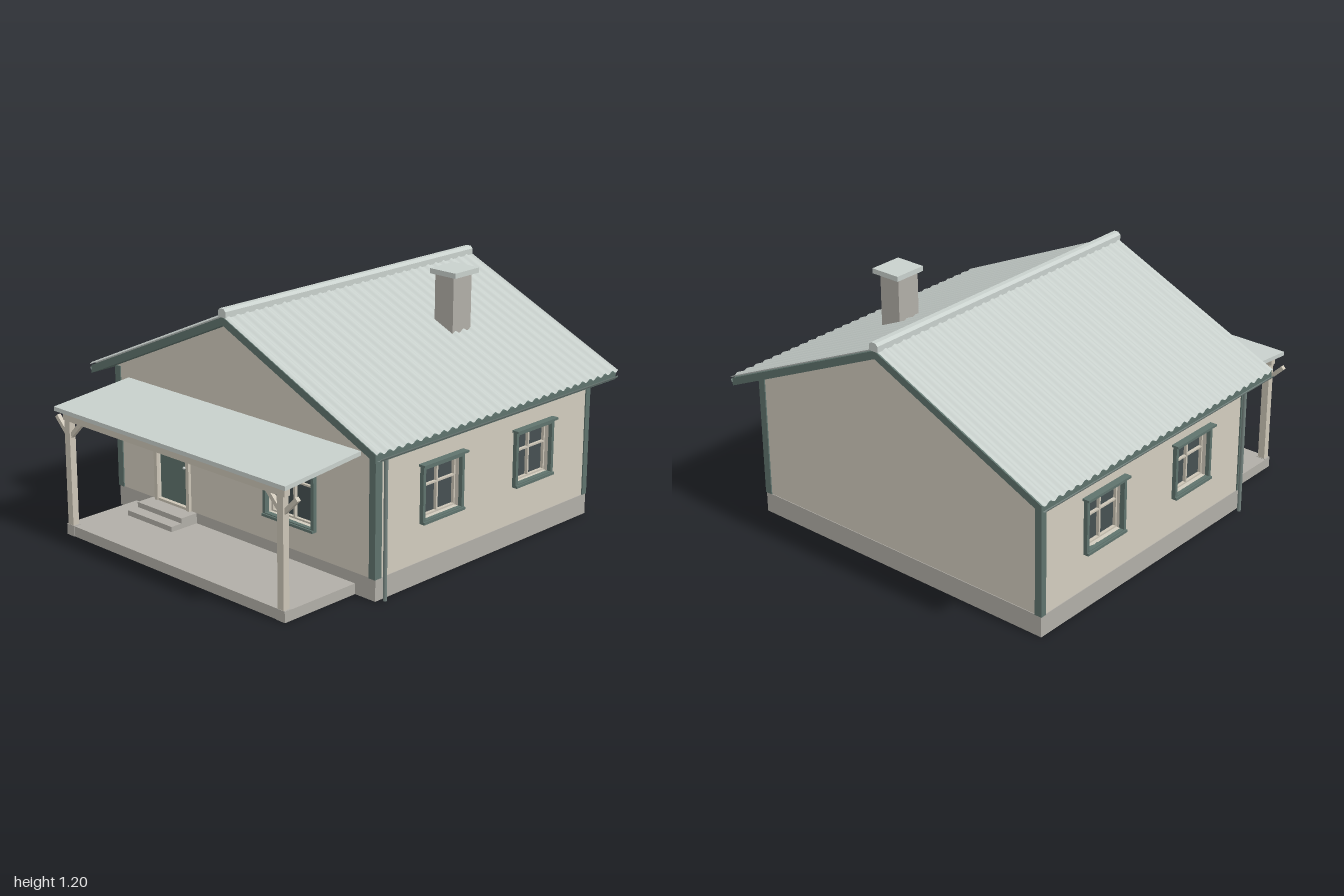
import * as THREE from 'three';

const mat = (color, extra = {}) => new THREE.MeshStandardMaterial({ color, ...extra });
const wallMat = mat(0xd2ccbe), trimMat = mat(0x5f736d), stoneMat = mat(0xb1aea7);
const glassMat = mat(0x465052), metalMat = mat(0xc8d0cc), woodMat = mat(0xccc5b6);
const sheetMat = mat(0xc8d0cc, { side: THREE.DoubleSide });
const gutterMat = mat(0x74837f, { side: THREE.DoubleSide });

const SLOPE = 0.45, FRONT = 0.555, BACK = -0.9, HALF = 0.83, THICK = 0.06;

function add(parent, name, geometry, material) {
  const mesh = new THREE.Mesh(geometry, material);
  mesh.name = name;
  parent.add(mesh);
  return mesh;
}

// Box given by its minimum and maximum on each axis
function box(parent, name, material, [x0, x1], [y0, y1], [z0, z1]) {
  const mesh = add(parent, name, new THREE.BoxGeometry(x1 - x0, y1 - y0, z1 - z0), material);
  mesh.position.set((x0 + x1) / 2, (y0 + y1) / 2, (z0 + z1) / 2);
  return mesh;
}

const polygon = (pts) => new THREE.Shape(pts.map(([x, y]) => new THREE.Vector2(x, y)));
const rect = (x0, x1, y0, y1) => [[x0, y0], [x1, y0], [x1, y1], [x0, y1]];

// Flat panel with rectangular openings, its outer face at local z = 0
function panel(outline, openings, depth) {
  const shape = polygon(outline);
  for (const o of openings) shape.holes.push(polygon(rect(...o)));
  return new THREE.ExtrudeGeometry(shape, { depth, bevelEnabled: false }).translate(0, 0, -depth);
}

// Recessed four-pane window, bottom centre at the origin, facing +z
function makeWindow(w, h) {
  const g = new THREE.Group();
  g.name = 'window';
  const a = w / 2, b = 0.016, c = 0.024;
  add(g, 'windowCasing', panel(rect(-a, a, 0, h), [[-a + b, a - b, b, h - b]], 0.025), trimMat).position.z = 0.02;
  add(g, 'windowSash', panel(rect(-a + b, a - b, b, h - b), [[-a + c, a - c, c, h - c]], 0.02), woodMat).position.z = -0.02;
  box(g, 'windowGlass', glassMat, [-a + b, a - b], [b, h - b], [-0.045, -0.035]);
  box(g, 'mullion', woodMat, [-0.005, 0.005], [b, h - b], [-0.036, -0.02]);
  box(g, 'glazingBar', woodMat, [-a + b, a - b], [h * 0.59 - 0.004, h * 0.59 + 0.004], [-0.036, -0.021]);
  box(g, 'windowHead', trimMat, [-a - 0.01, a + 0.01], [h, h + 0.01], [0, 0.035]);
  box(g, 'windowSill', trimMat, [-a, a], [0, 0.012], [0, 0.028]);
  return g;
}

function buildWalls(house) {
  box(house, 'foundation', stoneMat, [-HALF - 0.003, HALF + 0.003], [0, 0.1], [BACK - 0.003, FRONT]);
  const eave = 1.09 - SLOPE * HALF;
  const gable = [[-HALF, 0.1], [HALF, 0.1], [HALF, eave], [0, 1.09], [-HALF, eave]];
  add(house, 'frontWall', panel(gable, [[0.186, 0.469, 0.236, 0.524], [-0.545, -0.345, 0.11, 0.54]], THICK), wallMat).position.z = FRONT;
  const back = add(house, 'backWall', panel(gable, [], THICK), wallMat);
  back.rotation.y = Math.PI;
  back.position.z = BACK;

  const frontWindow = makeWindow(0.315, 0.32);
  frontWindow.position.set(0.3275, 0.22, FRONT);
  house.add(frontWindow);

  // Long walls, each with two windows
  const centres = [0.14, -0.4875];
  for (const s of [-1, 1]) {
    const side = new THREE.Group();
    side.name = s > 0 ? 'leftWall' : 'rightWall';
    side.rotation.y = s * Math.PI / 2;
    side.position.x = s * HALF;
    const toLocal = (z) => -s * z;
    const ends = [toLocal(FRONT - THICK), toLocal(BACK + THICK)].sort((p, q) => p - q);
    const holes = centres.map((z) => [toLocal(z) - 0.119, toLocal(z) + 0.119, 0.291, 0.524]);
    add(side, 'wallPanel', panel(rect(ends[0], ends[1], 0.1, eave), holes, THICK), wallMat);
    for (const z of centres) {
      const win = makeWindow(0.27, 0.265);
      win.position.set(toLocal(z), 0.275, 0);
      side.add(win);
    }
    house.add(side);

    // Corner boards
    const inner = s * (HALF - 0.03), outer = s * (HALF + 0.006);
    const xs = [Math.min(inner, outer), Math.max(inner, outer)];
    box(house, 'frontCornerBoard', trimMat, xs, [0.1, 0.7], [FRONT - 0.035, FRONT + 0.006]);
    box(house, 'backCornerBoard', trimMat, xs, [0.1, 0.7], [BACK - 0.006, BACK + 0.025]);
  }
}

function buildDoor(house) {
  const door = new THREE.Group();
  door.name = 'door';
  door.position.z = FRONT;
  add(door, 'doorCasing', panel([[-0.565, 0.1], [-0.545, 0.1], [-0.545, 0.54], [-0.345, 0.54], [-0.345, 0.1], [-0.325, 0.1], [-0.325, 0.553], [-0.565, 0.553]], [], 0.02), woodMat).position.z = 0.015;
  add(door, 'doorLeaf', panel(rect(-0.545, -0.345, 0.105, 0.54), [[-0.507, -0.38, 0.35, 0.485]], 0.025), trimMat).position.z = -0.01;
  box(door, 'doorGlass', glassMat, [-0.51, -0.377], [0.347, 0.488], [-0.028, -0.018]);
  box(door, 'threshold', woodMat, [-0.545, -0.345], [0.1, 0.112], [-0.03, 0.01]);
  add(door, 'doorKnob', new THREE.SphereGeometry(0.007, 12, 8), metalMat).position.set(-0.37, 0.3, 0);
  house.add(door);
  box(house, 'lowerStep', stoneMat, [-0.595, -0.29], [0.05, 0.075], [FRONT, 0.71]);
  box(house, 'upperStep', stoneMat, [-0.595, -0.29], [0.075, 0.1], [FRONT, 0.65]);
}

function buildRoof(house) {
  const z0 = -0.997, z1 = 0.642, half = 0.92, length = z1 - z0;
  const at = (top, x) => top - SLOPE * x;
  const deck = polygon([[-0.91, at(1.072, 0.91)], [0, 1.072], [0.91, at(1.072, 0.91)], [0.91, at(1.11, 0.91)], [0, 1.11], [-0.91, at(1.11, 0.91)]]);
  add(house, 'roofDeck', new THREE.ExtrudeGeometry(deck, { depth: length, bevelEnabled: false }), trimMat).position.z = z0;

  for (const s of [-1, 1]) {
    // Corrugated sheet: a plane rippled along the ridge
    const sheet = new THREE.PlaneGeometry(half, length + 0.006, 1, 29 * 8);
    sheet.translate(s * half / 2, 0, 0);
    const p = sheet.attributes.position;
    for (let i = 0; i < p.count; i++) {
      const x = p.getX(i), z = -p.getY(i);
      const ripple = 0.007 * Math.sin((z / length) * 29 * Math.PI * 2);
      p.setXYZ(i, x, at(1.119, Math.abs(x)) + ripple, z + (z0 + z1) / 2);
    }
    sheet.computeVertexNormals();
    add(house, 'roofSheet', sheet, sheetMat);

    // Half-round gutter and downpipe
    const gutter = new THREE.CylinderGeometry(0.016, 0.016, 1.62, 12, 1, true, -Math.PI / 2, Math.PI);
    gutter.rotateX(Math.PI / 2);
    add(house, 'gutter', gutter, gutterMat).position.set(s * 0.915, 0.686, (z0 + z1) / 2);
    const pipe = new THREE.CylinderGeometry(0.009, 0.009, 0.69, 12);
    add(house, 'downpipe', pipe, gutterMat).position.set(s * 0.854, 0.345, 0.517);
  }
  const cap = polygon([[-0.024, 1.108], [0.024, 1.108], [0.024, 1.136], [0.012, 1.148], [-0.012, 1.148], [-0.024, 1.136]]);
  add(house, 'ridgeCap', new THREE.ExtrudeGeometry(cap, { depth: length + 0.006, bevelEnabled: false }), metalMat).position.z = z0 - 0.003;

  box(house, 'chimney', stoneMat, [0.335, 0.445], [0.88, 1.18], [-0.495, -0.37]);
  box(house, 'chimneyCap', metalMat, [0.315, 0.468], [1.18, 1.204], [-0.52, -0.355]);
}

function buildPorch(house) {
  box(house, 'porchSlab', stoneMat, [-0.715, 0.715], [0, 0.05], [FRONT, 0.973]);
  // Lean-to roof, side profile swept across the width
  const profile = polygon([[-1, 0.597], [-0.55, 0.637], [-0.55, 0.657], [-1, 0.617]]);
  const lean = new THREE.ExtrudeGeometry(profile, { depth: 1.49, bevelEnabled: false });
  lean.translate(0, 0, -0.745).rotateY(Math.PI / 2);
  add(house, 'porchRoof', lean, metalMat);
  box(house, 'porchBeam', woodMat, [-0.715, 0.715], [0.555, 0.596], [0.942, 0.974]);

  for (const s of [-1, 1]) {
    const post = new THREE.Group();
    post.name = 'porchPost';
    post.position.set(s * 0.688, 0, 0.958);
    box(post, 'postBase', stoneMat, [-0.026, 0.026], [0, 0.052], [-0.02, 0.018]);
    box(post, 'postShaft', woodMat, [-0.018, 0.018], [0.05, 0.56], [-0.017, 0.016]);
    for (const d of [-1, 1]) {
      const brace = add(post, 'brace', new THREE.BoxGeometry(0.02, 0.115, 0.02), woodMat);
      brace.position.set(d * 0.046, 0.518, -0.002);
      brace.rotation.z = -d * Math.PI / 4;
    }
    house.add(post);
  }
}

export function createModel() {
  const house = new THREE.Group();
  house.name = 'house';
  buildWalls(house);
  buildDoor(house);
  buildRoof(house);
  buildPorch(house);
  return house;
}
